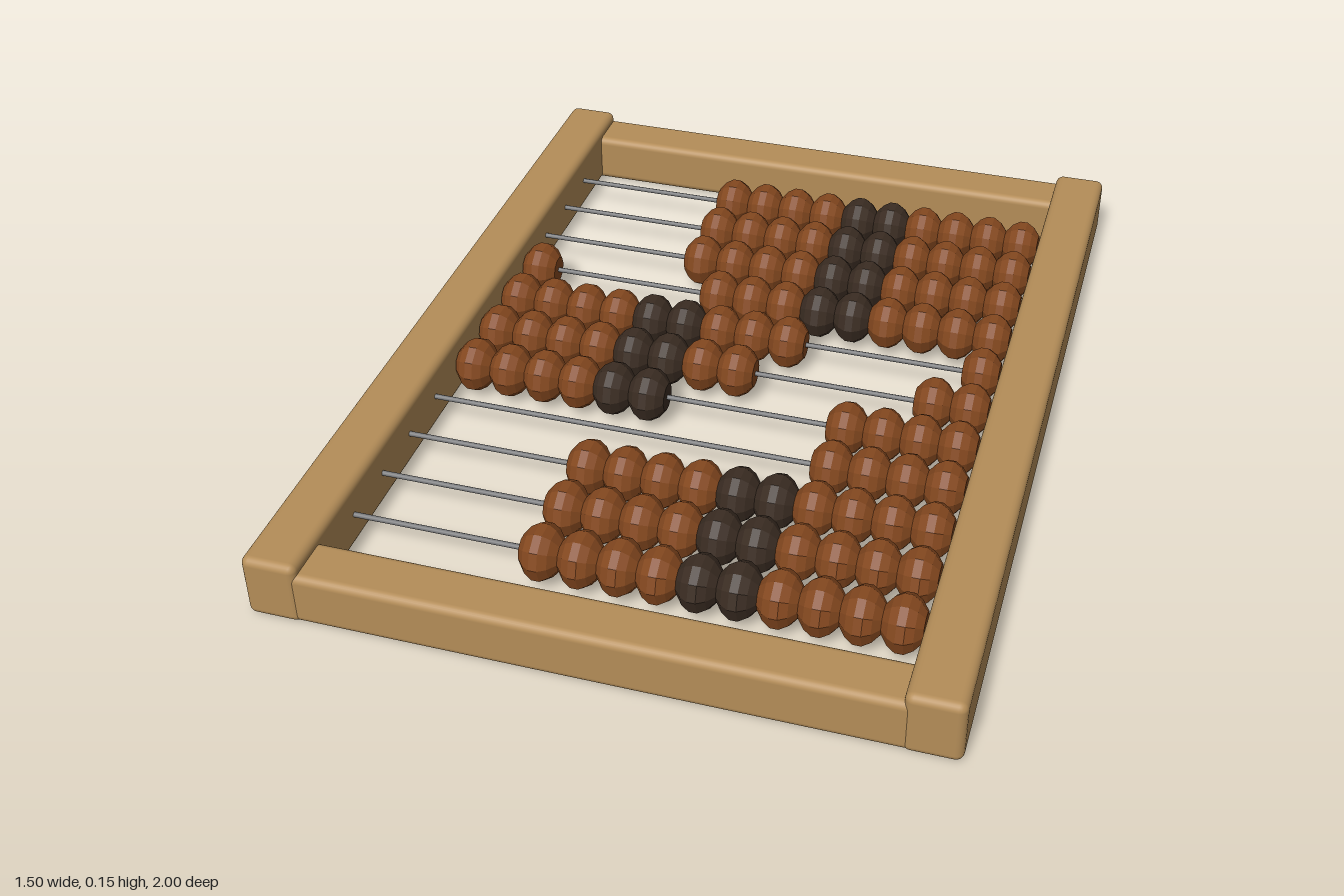
import * as THREE from 'three';
import { RoundedBoxGeometry } from 'three/addons/geometries/RoundedBoxGeometry.js';

const material = (name, color) => {
  const m = new THREE.MeshStandardMaterial({ color });
  m.name = name;
  return m;
};

export function createModel() {
  const wood = material('light wood', 0xb48d58);
  const brown = material('brown bead', 0x84481f);
  const dark = material('dark bead', 0x3a2c22);
  const steel = material('steel', 0x77787a);

  const model = new THREE.Group();
  model.name = 'abacus';
  const add = (parent, name, geometry, mat, x, y, z) => {
    const mesh = new THREE.Mesh(geometry, mat);
    mesh.name = name;
    mesh.position.set(x, y, z);
    parent.add(mesh);
  };

  // Frame: two tall side rails, two lower end bars between them
  const railGeometry = new RoundedBoxGeometry(0.122, 0.15, 2, 3, 0.018);
  const barGeometry = new RoundedBoxGeometry(1.3, 0.125, 0.12, 3, 0.018);
  for (const s of [-1, 1]) {
    add(model, s > 0 ? 'leftRail' : 'rightRail', railGeometry, wood, s * 0.687, 0.075, 0);
    add(model, s > 0 ? 'frontBar' : 'backBar', barGeometry, wood, 0, 0.0635, s * 0.938);
  }

  // Faceted bead, turned so that its axis lies along x
  const profile = [[0, -0.043], [0.033, -0.043], [0.053, -0.027], [0.064, -0.009],
    [0.064, 0.009], [0.053, 0.027], [0.033, 0.043], [0, 0.043]];
  let beadGeometry = new THREE.LatheGeometry(profile.map(([r, h]) => new THREE.Vector2(r, h)), 10);
  beadGeometry.rotateZ(-Math.PI / 2);
  beadGeometry = beadGeometry.toNonIndexed();
  beadGeometry.computeVertexNormals();
  brown.flatShading = dark.flatShading = true;

  const rodGeometry = new THREE.CylinderGeometry(0.006, 0.006, 1.28, 8);
  rodGeometry.rotateZ(Math.PI / 2);

  // Rows from back to front: beads pushed to -x, beads pushed to +x
  const rows = [[0, 10], [0, 10], [0, 10], [1, 9], [9, 1], [8, 2], [6, 4],
    [0, 4], [0, 10], [0, 10], [0, 10]];
  const pitch = 0.0858, end = 0.576, y = 0.076;
  rows.forEach(([low, high], i) => {
    const row = new THREE.Group();
    row.name = `row${i + 1}`;
    row.position.set(0, y, (i - 5) * 0.146);
    add(row, 'rod', rodGeometry, steel, 0, 0, 0);
    for (let b = 0; b < 10; b++) {
      if (b >= low && b < 10 - high) continue;
      const x = b < low ? -end - 0.004 + b * pitch : end - (9 - b) * pitch;
      const isDark = b === 4 || b === 5;
      add(row, isDark ? 'darkBead' : 'brownBead', beadGeometry, isDark ? dark : brown, x, 0, 0);
    }
    model.add(row);
  });
  return model;
}
